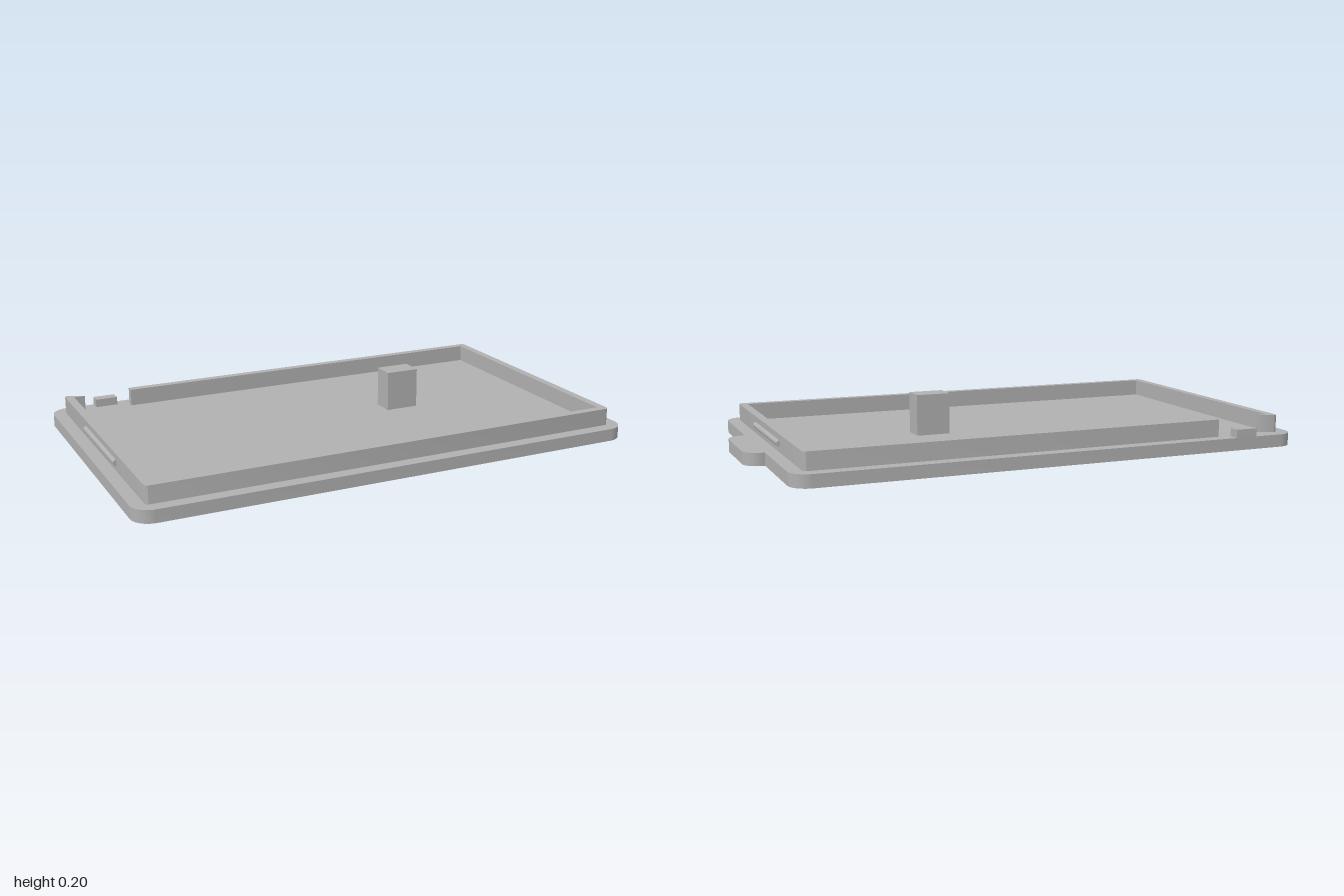
import * as THREE from 'three';
import { toCreasedNormals } from 'three/addons/utils/BufferGeometryUtils.js';

const PLATE_TOP = 0.047, RIM_TOP = 0.112;

export function createModel() {
  const group = new THREE.Group();
  const grey = new THREE.MeshStandardMaterial({ color: 0xb0b0b0 });
  grey.name = 'plain grey';

  const add = (name, geometry) => {
    const mesh = new THREE.Mesh(geometry, grey);
    mesh.name = name;
    group.add(mesh);
    return mesh;
  };

  // Plan outline (shape y points to the back) raised from y0 to y1
  const slab = (name, shape, y0, y1) => {
    const g = new THREE.ExtrudeGeometry(shape, { depth: y1 - y0, bevelEnabled: false, curveSegments: 10 });
    g.rotateX(-Math.PI / 2).translate(0, y0, 0);
    return add(name, toCreasedNormals(g, 0.6));
  };

  const block = (name, x0, x1, y0, y1, z0, z1) => add(name,
    new THREE.BoxGeometry(x1 - x0, y1 - y0, z1 - z0)
      .translate((x0 + x1) / 2, (y0 + y1) / 2, (z0 + z1) / 2));

  // Base plate with rounded corners and a finger tab on the left (+x) end
  const r = 0.07, hz = 0.58, x0 = -1, x1 = 0.93, tab = 0.177, tr = 0.062;
  const H = Math.PI / 2;
  const plate = new THREE.Shape();
  plate.moveTo(x0 + r, -hz);
  plate.absarc(x1 - r, -hz + r, r, -H, 0, false);
  plate.lineTo(x1, -tab);
  plate.absarc(1 - tr, -tab + tr, tr, -H, 0, false);
  plate.absarc(1 - tr, tab - tr, tr, 0, H, false);
  plate.lineTo(x1, tab);
  plate.absarc(x1 - r, hz - r, r, 0, H, false);
  plate.absarc(x0 + r, hz - r, r, H, 2 * H, false);
  plate.absarc(x0 + r, -hz + r, r, 2 * H, 3 * H, false);
  slab('basePlate', plate, 0, PLATE_TOP);

  // Raised rim, open at a gap in the back wall
  const ox0 = -0.951, ox1 = 0.882, oz = 0.531, ix0 = -0.919, ix1 = 0.851, iz = 0.5;
  const gap0 = -0.877, gap1 = -0.69, c = 0.016;
  const rim = new THREE.Shape();
  rim.moveTo(gap0, oz);
  rim.absarc(ox0 + c, oz - c, c, H, 2 * H, false);
  rim.absarc(ox0 + c, -oz + c, c, 2 * H, 3 * H, false);
  rim.absarc(ox1 - c, -oz + c, c, -H, 0, false);
  rim.absarc(ox1 - c, oz - c, c, 0, H, false);
  rim.lineTo(gap1, oz);
  rim.lineTo(gap1, iz);
  rim.lineTo(ix1, iz);
  rim.lineTo(ix1, -iz);
  rim.lineTo(ix0, -iz);
  rim.lineTo(ix0, iz);
  rim.lineTo(gap0, iz);
  rim.closePath();
  slab('rim', rim, PLATE_TOP, RIM_TOP);

  // Snap ridges half sunk into the end walls
  for (const [name, x] of [['leftSnapRidge', ox1], ['rightSnapRidge', ox0]]) {
    add(name, new THREE.CylinderGeometry(0.0115, 0.0115, 0.4, 20).rotateX(H)).position.set(x, 0.079, 0);
  }

  // Post on the floor and small block at the back edge
  block('post', 0.208, 0.337, PLATE_TOP, 0.2, -0.082, 0.004);
  block('backBlock', -0.824, -0.738, PLATE_TOP, 0.078, -0.58, -0.538);

  return group;
}
